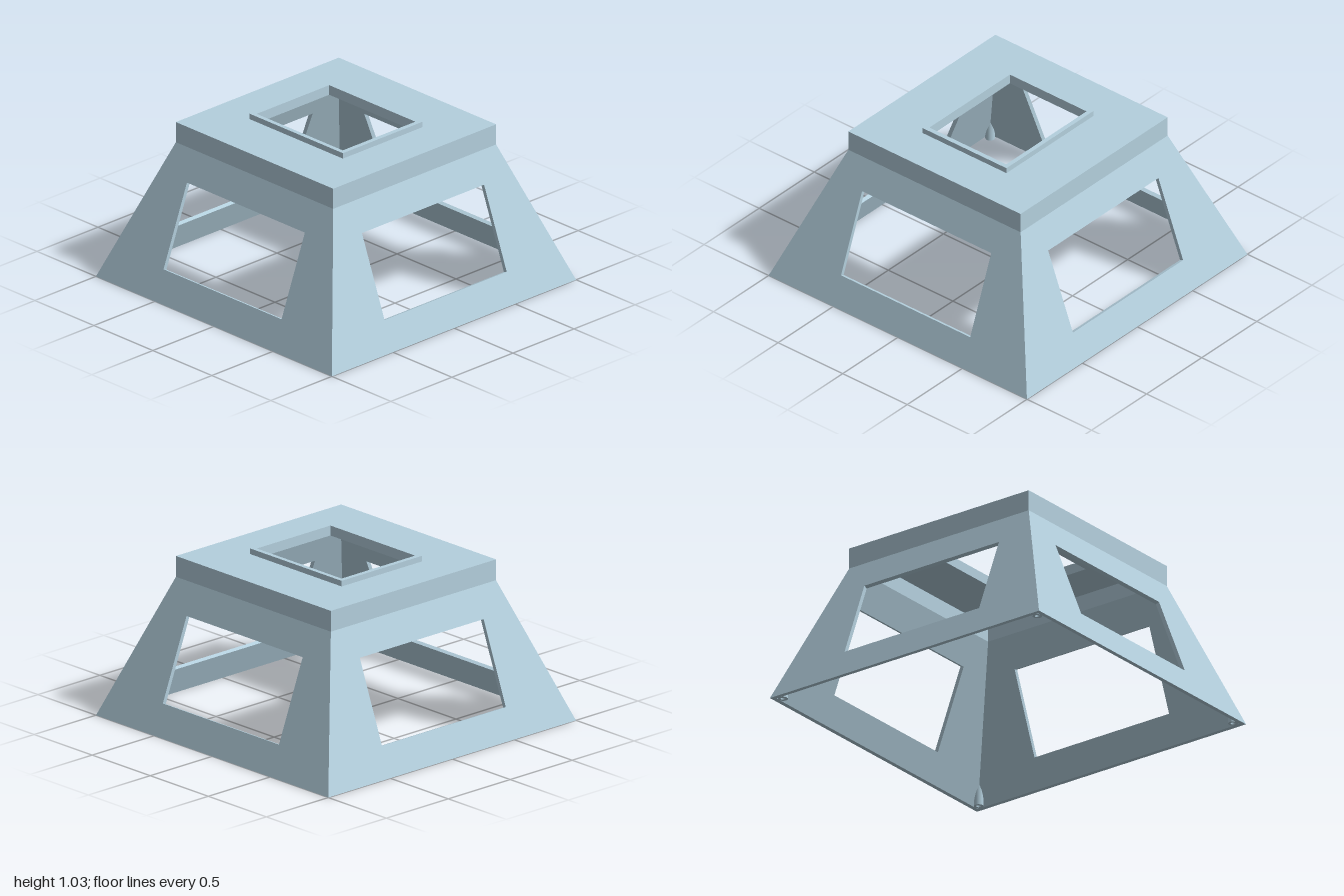
import * as THREE from 'three';

const BASE = 1, TOP = 0.667;          // half widths at the foot and at the bend
const BEND = 0.87, ROOF = 1, WALL = 0.027;
const SLOPE = (BASE - TOP) / BEND;

const rectPoints = (x0, y0, x1, y1) =>
  [[x0, y0], [x1, y0], [x1, y1], [x0, y1]].map(([x, y]) => new THREE.Vector2(x, y));

// Rectangular ring lying flat, from height y0 to y1
function frame(hx, hz, holeX, holeZ, y0, y1) {
  const shape = new THREE.Shape(rectPoints(-hx, -hz, hx, hz));
  shape.holes.push(new THREE.Path(rectPoints(-holeX, -holeZ, holeX, holeZ)));
  const geo = new THREE.ExtrudeGeometry(shape, { depth: y1 - y0, bevelEnabled: false });
  return geo.rotateX(-Math.PI / 2).translate(0, y0, 0);
}

// Sloping wall with mitred ends and a window cut square to its face
function wallGeometry() {
  const shape = new THREE.Shape([[-BASE, 0], [BASE, 0], [TOP, BEND], [-TOP, BEND]]
    .map(([x, y]) => new THREE.Vector2(x, y)));
  shape.holes.push(new THREE.Path(rectPoints(-0.5, 0.185, 0.5, 0.685)));
  const geo = new THREE.ExtrudeGeometry(shape, { depth: 1, bevelEnabled: false });
  const p = geo.attributes.position;
  const drop = WALL * SLOPE / (1 + SLOPE * SLOPE);
  for (let i = 0; i < p.count; i++) {
    let x = p.getX(i), y = p.getY(i);
    const inner = p.getZ(i) < 0.5;
    if (inner) {
      if (Math.abs(x) > 0.6) x -= Math.sign(x) * WALL;
      else y -= drop;
    }
    p.setXYZ(i, x, y, BASE - SLOPE * y - (inner ? WALL : 0));
  }
  geo.computeVertexNormals();
  return geo;
}

// Hollow screw boss in a lower corner, its top trimmed to follow the walls
function bossGeometry() {
  const c = 0.945;
  const shape = new THREE.Shape().absarc(0, 0, 0.029, 0, Math.PI * 2);
  shape.holes.push(new THREE.Path().absarc(0, 0, 0.014, 0, Math.PI * 2, true));
  const geo = new THREE.ExtrudeGeometry(shape, { depth: 1, bevelEnabled: false, curveSegments: 16 });
  geo.rotateX(-Math.PI / 2).translate(c, 0, c);
  const p = geo.attributes.position;
  for (let i = 0; i < p.count; i++) {
    const reach = Math.max(p.getX(i), p.getZ(i));
    if (p.getY(i) > 0.5) p.setY(i, (BASE - 0.012 - reach) / SLOPE);
  }
  geo.computeVertexNormals();
  return geo;
}

export function createModel() {
  const model = new THREE.Group();
  model.name = 'windowedHousing';
  const material = new THREE.MeshStandardMaterial({ color: 0xb4d0de });
  const add = (name, geometry, turn = 0) => {
    const mesh = new THREE.Mesh(geometry, material);
    mesh.name = name;
    mesh.rotation.y = turn * Math.PI / 2;
    model.add(mesh);
  };

  // Four sloping walls and corner bosses
  const wall = wallGeometry(), boss = bossGeometry();
  ['front', 'left', 'back', 'right'].forEach((side, i) => {
    add(side + 'Wall', wall, i);
    add('cornerBoss' + (i + 1), boss, i);
  });

  // Upright band, roof plate and raised lip round the opening
  const inside = TOP - WALL;
  add('upperBand', frame(TOP, TOP, inside, inside, BEND, ROOF - WALL));
  add('roof', frame(TOP, TOP, 0.365, 0.297, ROOF - WALL, ROOF));
  add('roofLip', frame(0.395, 0.325, 0.365, 0.297, ROOF, 1.035));
  return model;
}
